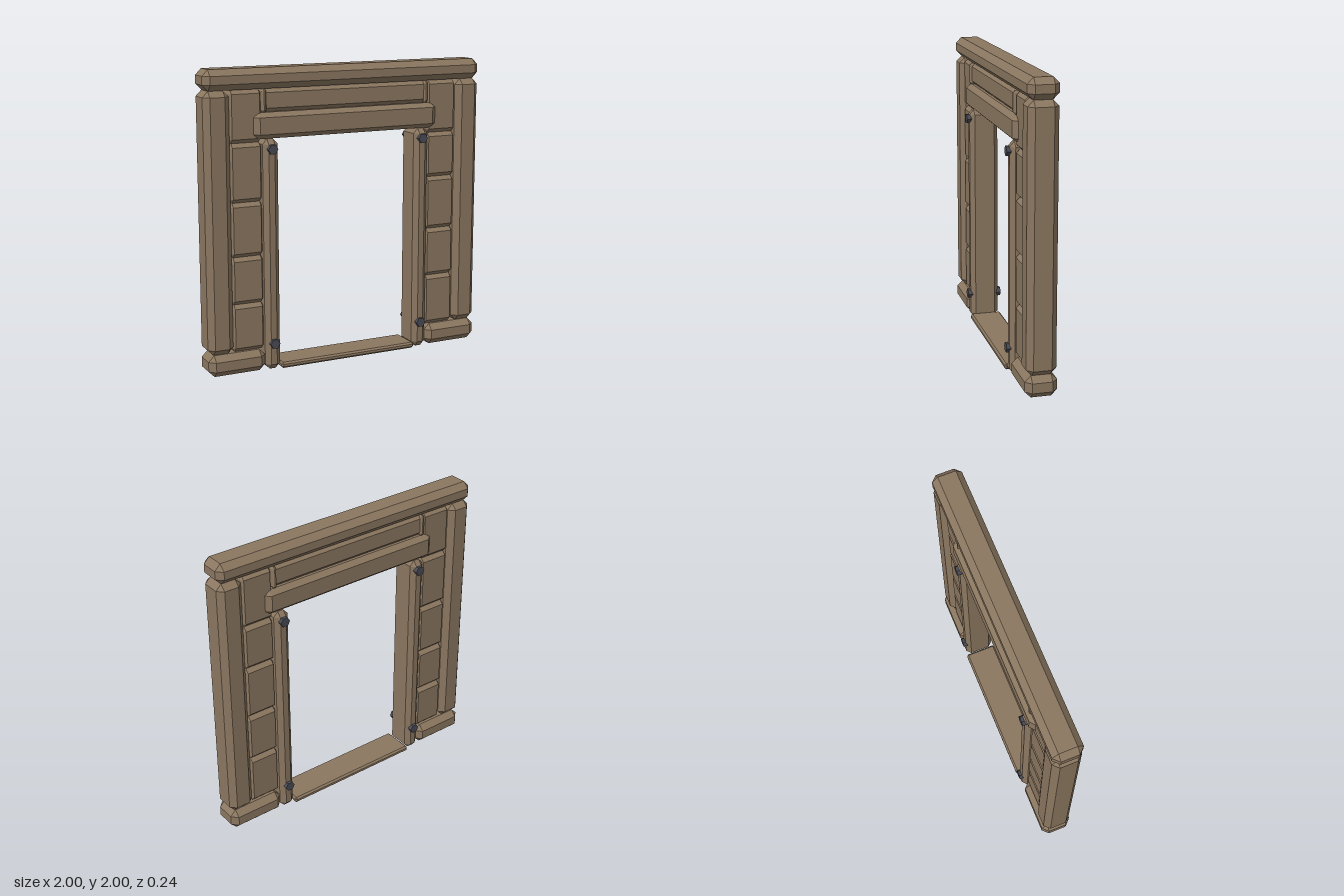
import * as THREE from 'three';
import { ConvexGeometry } from 'three/addons/geometries/ConvexGeometry.js';

// Block with chamfered edges and cut corners
function chamferedBlock(w, h, d, [cx, cy, cz]) {
  const points = [];
  for (const sx of [-1, 1]) for (const sy of [-1, 1]) for (const sz of [-1, 1]) {
    const x = w / 2, y = h / 2, z = d / 2;
    points.push(
      new THREE.Vector3(sx * x, sy * (y - cy), sz * (z - cz)),
      new THREE.Vector3(sx * (x - cx), sy * y, sz * (z - cz)),
      new THREE.Vector3(sx * (x - cx), sy * (y - cy), sz * z)
    );
  }
  return new ConvexGeometry(points);
}

export function createModel() {
  const group = new THREE.Group();
  const wood = new THREE.MeshStandardMaterial({ color: 0x8b7760 });
  wood.name = 'wood';
  const iron = new THREE.MeshStandardMaterial({ color: 0x4a4b55 });
  iron.name = 'iron';

  const beam = (name, x0, x1, y0, y1, halfDepth, chamfer) => {
    const mesh = new THREE.Mesh(chamferedBlock(x1 - x0, y1 - y0, halfDepth * 2, chamfer), wood);
    mesh.position.set((x0 + x1) / 2, (y0 + y1) / 2, 0);
    mesh.name = name;
    group.add(mesh);
  };
  // Same beam on one side of the frame, mirrored by sign
  const sideBeam = (name, side, xIn, xOut, ...rest) =>
    beam(name, Math.min(side * xIn, side * xOut), Math.max(side * xIn, side * xOut), ...rest);

  // Members spanning the frame
  beam('topBeam', -1, 1, 1.865, 2, 0.1, [0.04, 0.04, 0.04]);
  beam('upperPanel', -0.605, 0.605, 1.715, 1.865, 0.07, [0.025, 0.025, 0.025]);
  beam('lintel', -0.67, 0.67, 1.545, 1.715, 0.1, [0.04, 0.03, 0.035]);
  beam('threshold', -0.5, 0.5, 0.005, 0.045, 0.11, [0.012, 0.012, 0.012]);

  // Joint heights of the stacked wall blocks
  const joints = {
    '-1': [0.15, 0.467, 0.782, 1.14, 1.525, 1.865],
    '1': [0.15, 0.5, 0.835, 1.2, 1.507, 1.865],
  };

  for (const side of [-1, 1]) {
    const label = side > 0 ? 'left' : 'right';
    sideBeam(label + 'Post', side, 0.825, 1, 0.15, 1.865, 0.097, [0.038, 0.038, 0.038]);
    sideBeam(label + 'Foot', side, 0.605, 1, 0.005, 0.15, 0.105, [0.04, 0.04, 0.04]);
    sideBeam(label + 'Jamb', side, 0.5, 0.605, 0.005, 1.545, 0.1, [0.032, 0.035, 0.03]);
    sideBeam(label + 'UpperStrip', side, 0.575, 0.605, 1.715, 1.865, 0.085, [0.01, 0.015, 0.015]);

    const ys = joints[side];
    for (let i = 0; i < ys.length - 1; i++) {
      sideBeam(label + 'WallBlock' + (i + 1), side, 0.605, 0.825, ys[i], ys[i + 1], 0.07, [0.015, 0.026, 0.026]);
    }

    // Hexagonal bolts passing through each jamb
    for (const y of [0.185, 1.48]) {
      const geometry = new THREE.CylinderGeometry(0.034, 0.034, 0.24, 6).toNonIndexed();
      geometry.rotateY(Math.PI / 6).rotateX(Math.PI / 2).computeVertexNormals();
      const bolt = new THREE.Mesh(geometry, iron);
      bolt.name = label + 'Bolt';
      bolt.position.set(side * 0.55, y, 0);
      group.add(bolt);
    }
  }
  return group;
}
